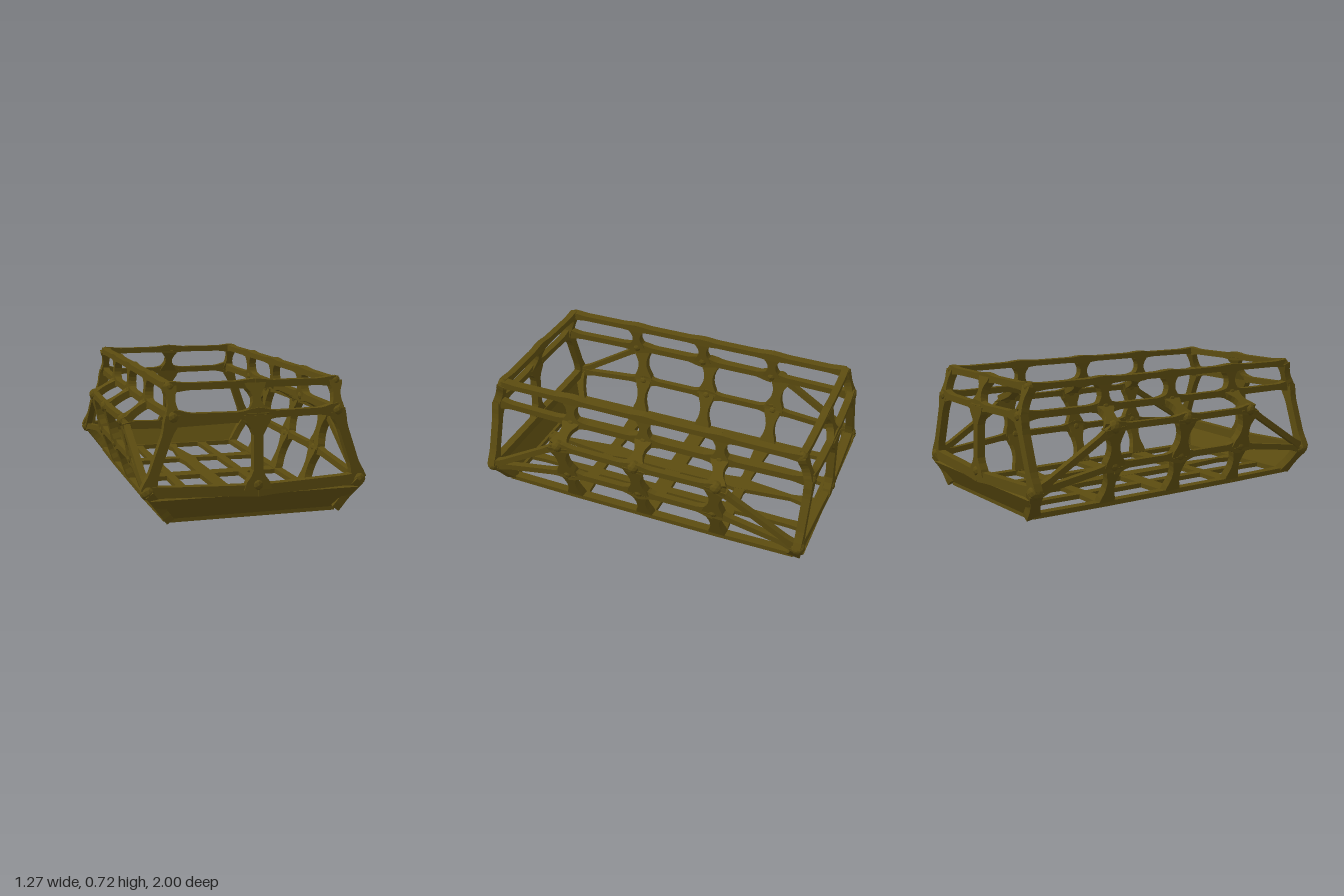
import * as THREE from 'three';

const olive = new THREE.MeshStandardMaterial({ color: 0x5c4c10, flatShading: true });
olive.name = 'olive';

// Rectangular bar from a to b. Stations are [distance along 0..1, width];
// depth is measured along the given normal.
function barGeometry(a, b, normal, depth, stations) {
  const A = new THREE.Vector3(...a), B = new THREE.Vector3(...b);
  const dir = B.clone().sub(A), len = dir.length();
  dir.normalize();
  const n = new THREE.Vector3(...normal);
  n.addScaledVector(dir, -n.dot(dir)).normalize();
  const side = new THREE.Vector3().crossVectors(dir, n);
  const last = stations.length - 1;
  const geo = new THREE.BoxGeometry(1, 1, depth, 1, last, 1);
  const p = geo.attributes.position;
  for (let i = 0; i < p.count; i++) {
    const [t, w] = stations[Math.round((p.getY(i) + 0.5) * last)];
    p.setXYZ(i, p.getX(i) * w, t * len, p.getZ(i));
  }
  geo.applyMatrix4(new THREE.Matrix4().makeBasis(side, dir, n).setPosition(A));
  geo.computeVertexNormals();
  return geo;
}

// Bar width profile that flares where it runs into a joint
function flared(a, b, w, flare) {
  const len = new THREE.Vector3(...a).distanceTo(new THREE.Vector3(...b));
  const f = Math.min(0.1, len * 0.42) / len;
  return [[0, w + flare], [f * 0.4, w + flare * 0.7], [f * 0.7, w + flare * 0.25], [f, w],
    [1 - f, w], [1 - f * 0.7, w + flare * 0.25], [1 - f * 0.4, w + flare * 0.7], [1, w + flare]];
}

export function createModel() {
  const model = new THREE.Group();
  model.name = 'spaceFrame';

  const add = (name, geo) => {
    const m = new THREE.Mesh(geo, olive);
    m.name = name;
    model.add(m);
  };
  const bar = (name, a, b, normal, w, depth, flare = 0) =>
    add(name, barGeometry(a, b, normal, depth, flared(a, b, w, flare)));
  const shaped = (name, a, b, normal, depth, stations) =>
    add(name, barGeometry(a, b, normal, depth, stations));
  const joint = (name, pos, r = 0.032) => {
    const g = new THREE.IcosahedronGeometry(r, 1);
    g.translate(...pos);
    add(name, g);
  };

  // Side ribs at the middle and quarter points, and the side panels
  for (const sx of [-1, 1]) {
    const out = [sx, 0, 0];
    for (const z of [-0.45, 0, 0.45]) {
      const roof = [sx * 0.44, 0.69, z], belt = [sx * 0.45, 0.545, z];
      const shoulder = [sx * (z ? 0.585 : 0.595), 0.46, z * 1.06];
      const mid = [sx * 0.535, 0.24, z], sill = [sx * 0.455, 0.025, z];
      bar('upperPost', belt, roof, out, 0.05, 0.045, 0.06);
      bar('shoulderLink', shoulder, belt, [sx, 1, 0], 0.06, 0.04, 0.05);
      bar('sidePost', mid, shoulder, out, 0.06, 0.045, 0.07);
      bar('lowerPost', sill, mid, [sx, -0.3, 0], 0.055, 0.045, 0.05);
      joint('shoulderJoint', shoulder, 0.038);
      joint('beltJoint', belt, 0.032);
      joint('midJoint', mid, 0.032);
    }

    for (const sz of [-1, 1]) {
      const P = (x, y, z) => [sx * x, y, sz * z];
      const corner = P(0.565, 0.175, 0.945), beltCorner = P(0.435, 0.545, 0.945);
      const roofCorner = P(0.44, 0.688, 0.895), sillCorner = P(0.45, 0.022, 0.9);
      const shoulder = P(0.585, 0.46, 0.477), mid = P(0.535, 0.24, 0.45);
      const belt = P(0.45, 0.545, 0.45);

      // Lengthwise rails
      bar('roofRail', P(0.44, 0.69, 0), P(0.44, 0.69, 0.45), out, 0.032, 0.05, 0.015);
      bar('roofRail', P(0.44, 0.69, 0.45), roofCorner, out, 0.032, 0.05, 0.015);
      bar('beltRail', P(0.45, 0.545, 0), belt, out, 0.036, 0.04, 0.04);
      bar('beltRail', belt, beltCorner, out, 0.036, 0.04, 0.03);
      bar('shoulderRail', P(0.595, 0.46, 0), shoulder, out, 0.034, 0.036, 0.03);
      bar('midRail', P(0.535, 0.24, 0), mid, out, 0.036, 0.036, 0.05);
      bar('sillRail', P(0.455, 0.02, 0), P(0.455, 0.02, 0.45), out, 0.028, 0.05);
      bar('sillRail', P(0.455, 0.02, 0.45), sillCorner, out, 0.028, 0.05);

      // Diagonals running into the end corner
      bar('upperDiagonal', shoulder, corner, out, 0.034, 0.036, 0.02);
      bar('lowerDiagonal', mid, corner, out, 0.034, 0.036, 0.03);

      // Corner pillars
      bar('cornerPillar', corner, beltCorner, [0, 0, sz], 0.05, 0.045, 0.03);
      bar('upperPillar', beltCorner, roofCorner, [0, 0, sz], 0.04, 0.045, 0.03);
      bar('cornerGusset', sillCorner, corner, [sx, -0.5, 0], 0.06, 0.045, 0.02);
      joint('bumperCorner', corner, 0.04);
      joint('beltCorner', beltCorner, 0.034);
      joint('roofCorner', roofCorner, 0.03);

      // Half of each crossbar at the ends
      const beltMid = [0, 0.54, sz * 0.955], roofMid = [0, 0.69, sz * 0.9];
      bar('endRoofBar', roofMid, roofCorner, [0, 0, sz], 0.035, 0.04, 0.02);
      bar('endBeltBar', beltMid, beltCorner, [0, 0, sz], 0.036, 0.04, 0.04);
      bar('bumperBar', [0, 0.155, sz * 0.96], corner, [0, 0, sz], 0.055, 0.045, 0.01);
    }
  }

  // Centre posts and sloping lower plates at both ends
  for (const sz of [-1, 1]) {
    const n = [0, 0, sz];
    bar('centrePost', [0, 0.16, sz * 0.965], [0, 0.54, sz * 0.955], n, 0.05, 0.045, 0.1);
    bar('upperCentrePost', [0, 0.54, sz * 0.955], [0, 0.69, sz * 0.9], n, 0.045, 0.045, 0.07);
    joint('centreJoint', [0, 0.185, sz * 0.963], 0.036);
    shaped('lowerPlate', [0, 0.012, sz * 0.895], [0, 0.14, sz * 0.97], [0, -0.5, sz], 0.02,
      [[0, 0.93], [1, 1.11]]);
    shaped('endSill', [-0.45, 0.017, sz * 0.895], [0.45, 0.017, sz * 0.895], [0, 1, 0], 0.03,
      [[0, 0.035], [1, 0.035]]);
  }

  // Floor grid
  const up = [0, 1, 0];
  shaped('floorSpine', [0, 0.016, -0.89], [0, 0.016, 0.89], up, 0.028,
    [[0, 0.08], [0.03, 0.07], [0.08, 0.03], [0.23, 0.09], [0.27, 0.11], [0.33, 0.08],
      [0.5, 0.09], [0.67, 0.08], [0.73, 0.11], [0.77, 0.09], [0.92, 0.03], [0.97, 0.07], [1, 0.08]]);
  for (const x of [-0.225, 0.225])
    shaped('floorRunner', [x, 0.016, -0.89], [x, 0.016, 0.89], up, 0.026,
      [[0, 0.06], [0.06, 0.045], [0.25, 0.055], [0.5, 0.05], [0.75, 0.055], [0.94, 0.045], [1, 0.06]]);
  for (const z of [-0.44, 0.44])
    shaped('floorCrossbar', [-0.45, 0.016, z], [0.45, 0.016, z], up, 0.026,
      [[0, 0.12], [0.06, 0.1], [0.25, 0.075], [0.42, 0.06], [0.5, 0.09], [0.58, 0.06],
        [0.75, 0.075], [0.94, 0.1], [1, 0.12]]);
  shaped('floorCentreBar', [-0.45, 0.016, 0], [0.45, 0.016, 0], up, 0.026, [[0, 0.1], [1, 0.1]]);

  return model;
}
